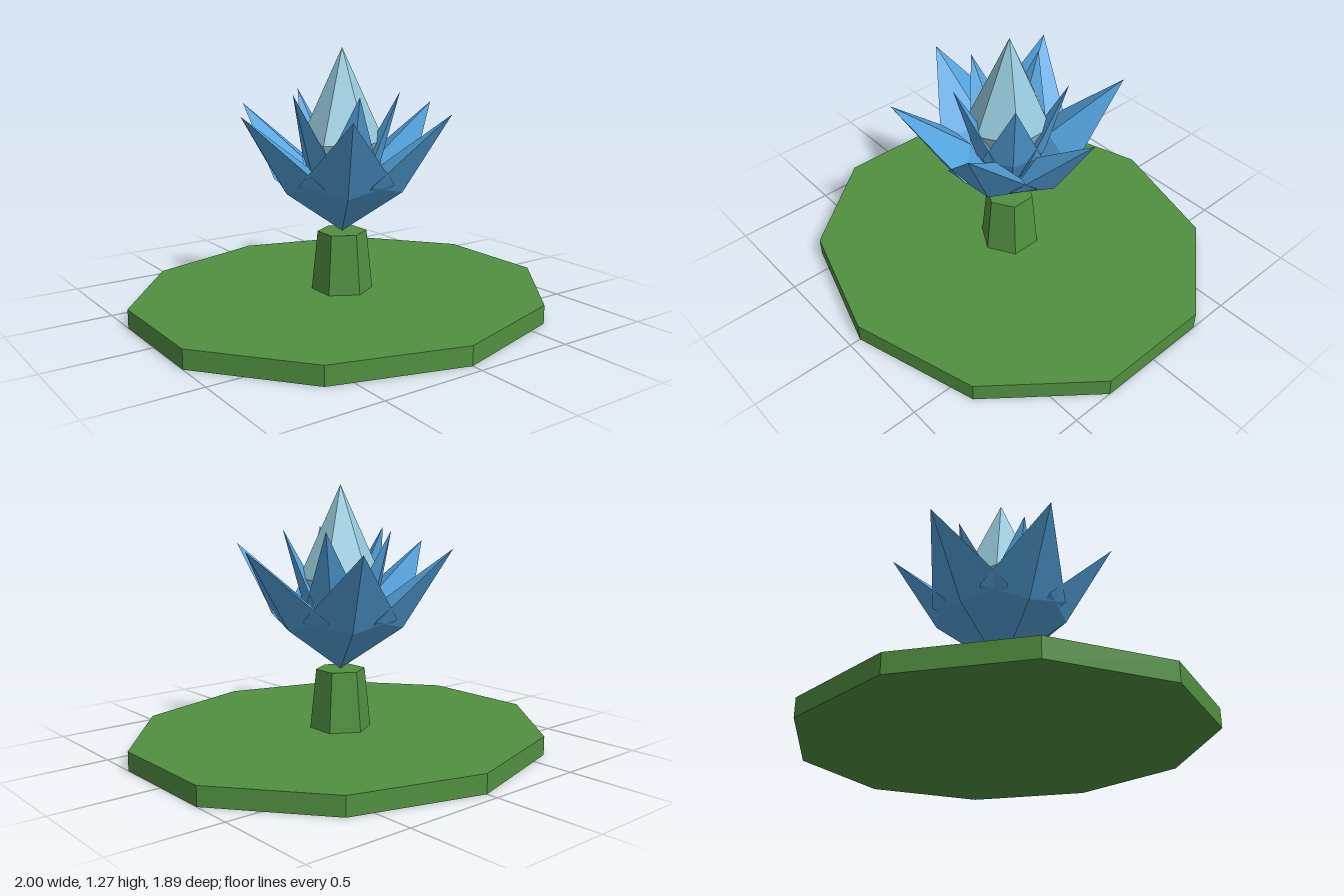
import * as THREE from 'three';

const FLOWER_Y = 0.38; // height where every petal starts

function flatMaterial(name, color) {
  const material = new THREE.MeshStandardMaterial({ color, flatShading: true });
  material.name = name;
  return material;
}

// Double pyramid standing on its lower point
function spindle(height, widest, sides) {
  const profile = [[0, 0], [1, height * widest], [0, height]];
  return new THREE.LatheGeometry(profile.map(([x, y]) => new THREE.Vector2(x, y)), sides);
}

// Four-sided petal leaning out towards +x, its tip at the given radius and rise
function petalGeometry(reach, rise, halfWidth, halfDepth) {
  const geometry = spindle(Math.hypot(reach, rise), 0.46, 4);
  geometry.scale(halfDepth, 1, halfWidth);
  geometry.rotateZ(-Math.atan2(reach, rise));
  return geometry;
}

export function createModel() {
  const leafGreen = flatMaterial('leaf green', 0x519040);
  const petalBlue = flatMaterial('petal blue', 0x54a2dc);
  const budBlue = flatMaterial('pale bud blue', 0x96c9dc);
  const model = new THREE.Group();
  model.name = 'waterLily';

  function add(parent, name, geometry, material, y) {
    const flat = geometry.toNonIndexed();
    flat.computeVertexNormals();
    const mesh = new THREE.Mesh(flat, material);
    mesh.name = name;
    mesh.position.y = y;
    parent.add(mesh);
    return mesh;
  }

  // Ten-sided pad, slightly wider than deep
  const pad = new THREE.CylinderGeometry(1, 1, 0.09, 10);
  pad.scale(1.051, 1, 0.945);
  add(model, 'lilyPad', pad, leafGreen, 0.045);

  // Tapered six-sided stem
  add(model, 'stem', new THREE.CylinderGeometry(0.12, 0.15, 0.29, 6), leafGreen, 0.235);

  // Two rings of petals
  const rings = [
    { name: 'outerPetal', count: 6, start: 0, shape: [0.55, 0.6, 0.22, 0.083] },
    { name: 'innerPetal', count: 5, start: Math.PI, shape: [0.275, 0.68, 0.14, 0.05] },
  ];
  for (const { name, count, start, shape } of rings) {
    const ring = new THREE.Group();
    ring.name = name + 'Ring';
    for (let i = 0; i < count; i++) {
      const petal = add(ring, name, petalGeometry(...shape), petalBlue, FLOWER_Y);
      petal.rotation.y = start + (i / count) * Math.PI * 2;
    }
    model.add(ring);
  }

  // Pointed bud in the middle
  const bud = spindle(0.89, 0.5, 6);
  bud.scale(0.202, 1, 0.202);
  add(model, 'bud', bud, budBlue, FLOWER_Y);

  return model;
}
